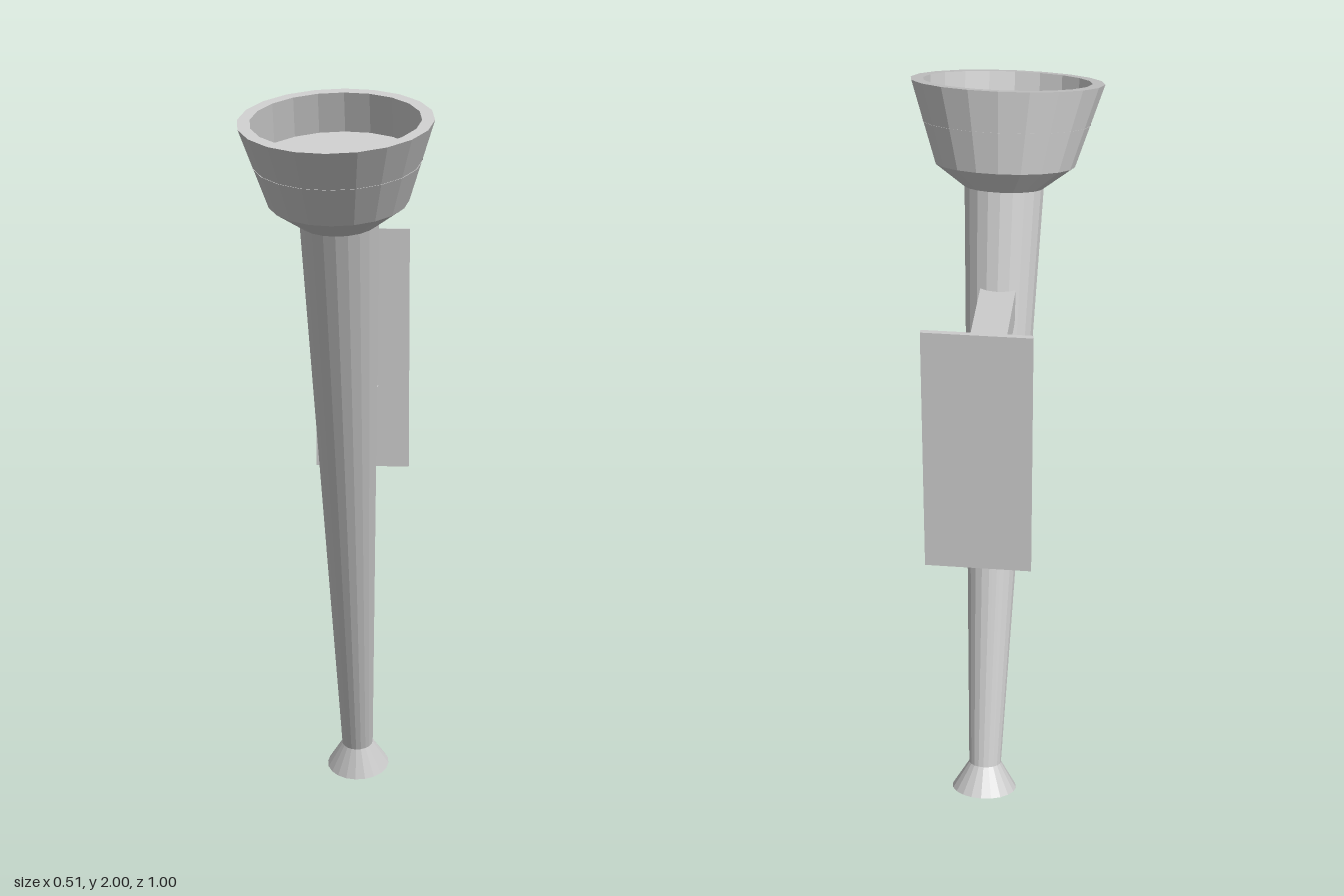
import * as THREE from 'three';

const SIDES = 20;
const material = new THREE.MeshStandardMaterial({ color: 0xcccccc, flatShading: true });

function addMesh(parent, name, geometry, x = 0, y = 0, z = 0) {
  const mesh = new THREE.Mesh(geometry, material);
  mesh.name = name;
  mesh.position.set(x, y, z);
  parent.add(mesh);
}

// Turned part from [radius, height] pairs, listed from the bottom up the outside
function turned(profile) {
  return new THREE.LatheGeometry(profile.map(([r, y]) => new THREE.Vector2(r, y)), SIDES);
}

export function createModel() {
  const model = new THREE.Group();
  model.name = 'wallTorch';

  // Torch body, leaning forward away from the wall
  const torch = new THREE.Group();
  torch.name = 'torch';
  torch.position.set(0, 0.028, -0.37);
  torch.rotation.x = 0.32;
  model.add(torch);

  addMesh(torch, 'foot', turned([[0, 0], [0.09, 0], [0.045, 0.075]]));
  addMesh(torch, 'shaft', turned([[0.045, 0.075], [0.105, 1.715]]));
  // Cup with flared collar, flat rim and recessed floor
  addMesh(torch, 'cup', turned([
    [0.105, 1.715], [0.185, 1.775], [0.255, 1.993], [0.222, 1.993], [0.222, 1.885], [0, 1.885],
  ]));

  // Wall plate
  addMesh(model, 'wallPlate', new THREE.BoxGeometry(0.274, 0.7, 0.013), 0, 1.25, -0.4935);

  // Two arms running from the plate into the shaft
  const arms = [['upperArm', 1.3925, 0.06], ['lowerArm', 1.0975, -0.04]];
  for (const [name, y, front] of arms) {
    const length = front + 0.49;
    addMesh(model, name, new THREE.BoxGeometry(0.094, 0.085, length), 0, y, front - length / 2);
  }

  return model;
}
